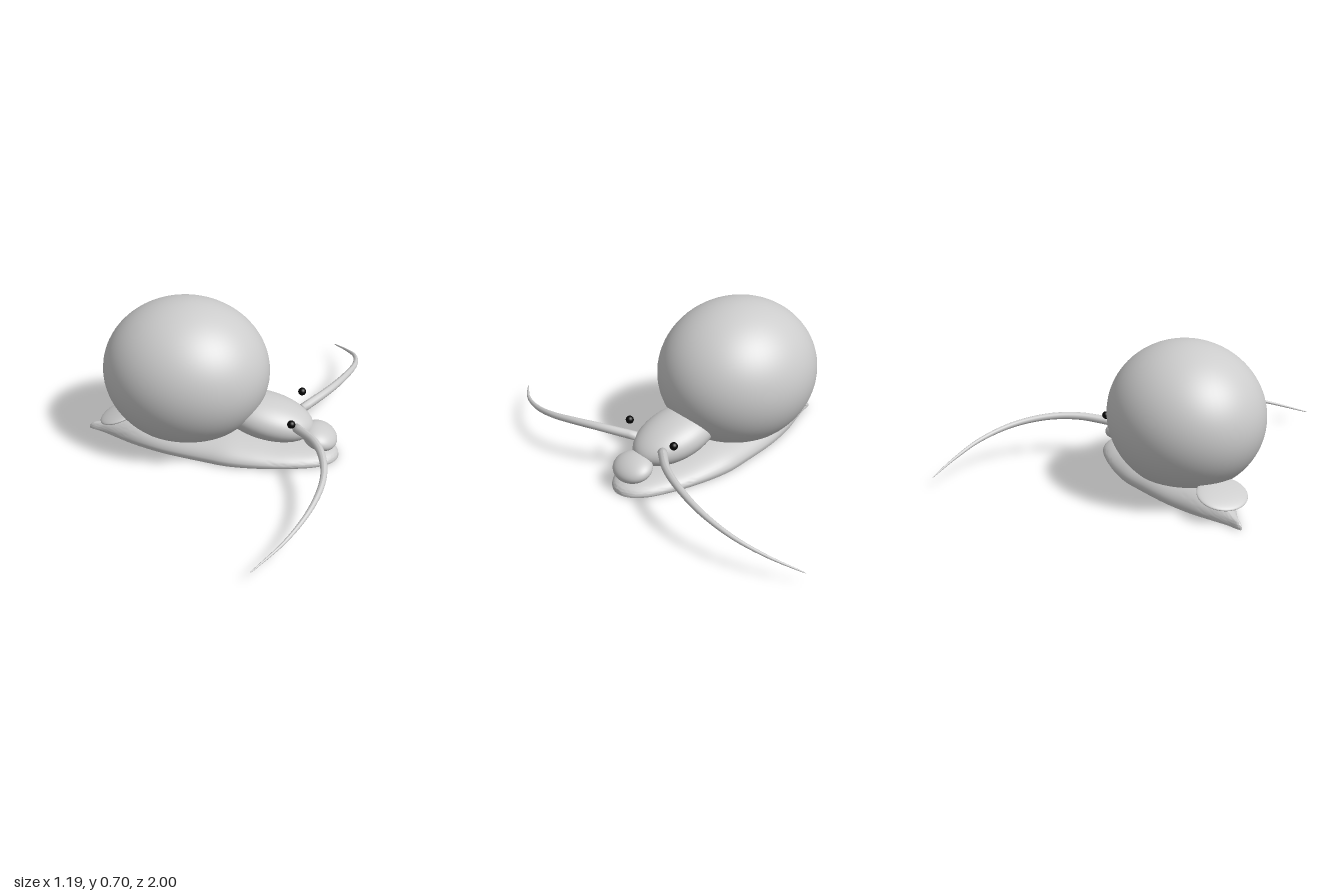
import * as THREE from 'three';
import { mergeVertices, toCreasedNormals } from 'three/addons/utils/BufferGeometryUtils.js';

const skin = new THREE.MeshStandardMaterial({ color: 0xcccccc });
skin.name = 'light grey';
const black = new THREE.MeshStandardMaterial({ color: 0x050505 });
black.name = 'eye black';

function add(group, name, geometry, material = skin) {
  const mesh = new THREE.Mesh(geometry, material);
  mesh.name = name;
  group.add(mesh);
  return mesh;
}

// Ellipsoid with the given radii, tilted about z
function ellipsoid(group, name, center, radii, tilt = 0, material = skin) {
  const geometry = new THREE.SphereGeometry(1, 40, 28);
  geometry.scale(...radii);
  const mesh = add(group, name, geometry, material);
  mesh.position.set(...center);
  mesh.rotation.z = tilt;
  return mesh;
}

// Shell ball pressed flat where it rests on the foot
function shellGeometry() {
  const g = new THREE.SphereGeometry(1, 64, 48);
  g.scale(0.377, 0.332, 0.345);
  g.translate(-0.12, 0.368, 0);
  const p = g.attributes.position;
  for (let i = 0; i < p.count; i++) p.setY(i, Math.max(p.getY(i), 0.11));
  g.deleteAttribute('normal');
  g.deleteAttribute('uv');
  const merged = mergeVertices(g, 1e-5);
  merged.computeVertexNormals();
  return merged;
}

// Foot lofted along x from stations of [x, half width, height]
function footGeometry() {
  const stations = [
    [-0.592, 0.004, 0.015], [-0.575, 0.012, 0.03], [-0.53, 0.025, 0.043], [-0.45, 0.062, 0.07],
    [-0.35, 0.108, 0.095], [-0.2, 0.155, 0.1], [0, 0.19, 0.108], [0.1, 0.203, 0.108],
    [0.2, 0.198, 0.097], [0.3, 0.182, 0.083], [0.4, 0.157, 0.072], [0.5, 0.118, 0.057],
    [0.555, 0.075, 0.042], [0.578, 0.035, 0.027], [0.584, 0.004, 0.015],
  ];
  const curve = new THREE.CatmullRomCurve3(stations.map((s) => new THREE.Vector3(...s)));
  const rings = 70, sides = 28, pos = [], index = [];
  for (let i = 0; i <= rings; i++) {
    const s = curve.getPoint(i / rings);
    pos.push(s.x, 0, s.y * 0.95);
    for (let j = 0; j <= sides; j++) {
      const a = (j / sides) * Math.PI;
      pos.push(s.x, s.z * (0.18 + 0.82 * Math.sin(a)), s.y * Math.cos(a));
    }
    pos.push(s.x, 0, -s.y * 0.95);
  }
  const n = sides + 3;
  for (let i = 0; i < rings; i++) {
    for (let j = 0; j < n; j++) {
      const a = i * n + j, c = i * n + ((j + 1) % n);
      index.push(a, a + n, c, a + n, c + n, c);
    }
  }
  // End caps
  for (let j = 1; j < n - 1; j++) {
    const e = rings * n;
    index.push(0, j, j + 1, e, e + j + 1, e + j);
  }
  const g = new THREE.BufferGeometry();
  g.setAttribute('position', new THREE.Float32BufferAttribute(pos, 3));
  g.setIndex(index);
  return toCreasedNormals(g, 0.7);
}

// Tube that narrows from a blunt root to a fine tip
function feelerGeometry(points) {
  const curve = new THREE.CatmullRomCurve3(points.map((p) => new THREE.Vector3(...p)));
  const length = 60, sides = 14;
  const g = new THREE.TubeGeometry(curve, length, 1, sides);
  const p = g.attributes.position, v = new THREE.Vector3();
  for (let i = 0; i <= length; i++) {
    // The first two rings share one centre, closing the root
    const c = curve.getPointAt(i < 2 ? 0 : i / length);
    const own = curve.getPointAt(i / length);
    const r = i === 0 || i === length ? 0 : 0.019 * (1 - i / length) ** 0.8 + 0.002;
    for (let j = 0; j <= sides; j++) {
      const k = i * (sides + 1) + j;
      v.fromBufferAttribute(p, k).sub(own).multiplyScalar(r).add(c);
      p.setXYZ(k, v.x, v.y, v.z);
    }
  }
  g.computeVertexNormals();
  return g;
}

export function createModel() {
  const model = new THREE.Group();
  model.name = 'snail';

  add(model, 'shell', shellGeometry());
  add(model, 'foot', footGeometry());
  ellipsoid(model, 'head', [0.25, 0.175, 0], [0.22, 0.095, 0.145], -0.21);
  ellipsoid(model, 'snout', [0.495, 0.1, 0], [0.083, 0.05, 0.1], -0.35);
  ellipsoid(model, 'tailFlap', [-0.435, 0.105, 0], [0.103, 0.018, 0.115], 0.38);

  for (const side of [1, -1]) {
    ellipsoid(model, side > 0 ? 'leftEye' : 'rightEye',
      [0.387, 0.23, side * 0.152], [0.018, 0.018, 0.018], 0, black);
  }

  // The two feelers sweep slightly differently
  add(model, 'frontFeeler', feelerGeometry([
    [0.4, 0.178, 0.09], [0.5, 0.204, 0.23], [0.55, 0.205, 0.34], [0.576, 0.187, 0.48],
    [0.555, 0.152, 0.64], [0.485, 0.106, 0.82], [0.37, 0.055, 1],
  ]));
  add(model, 'backFeeler', feelerGeometry([
    [0.4, 0.178, -0.09], [0.5, 0.205, -0.24], [0.555, 0.208, -0.38], [0.583, 0.187, -0.55],
    [0.565, 0.147, -0.72], [0.51, 0.104, -0.86], [0.43, 0.06, -1],
  ]));
  return model;
}
